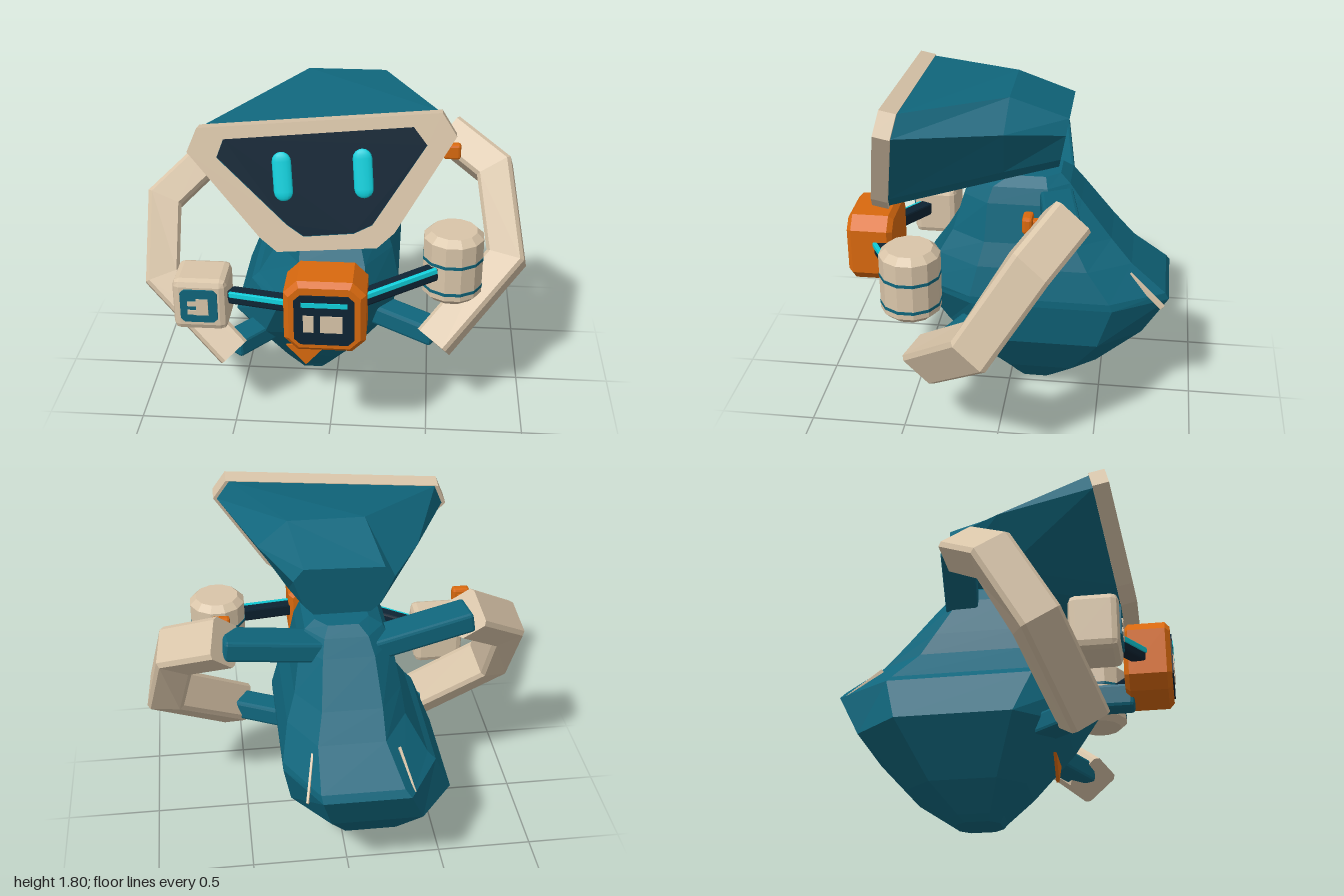
import * as THREE from 'three';
import { RoundedBoxGeometry } from 'three/addons/geometries/RoundedBoxGeometry.js';

const V = (x, y, z) => new THREE.Vector3(x, y, z);

function material(name, color) {
  const m = new THREE.MeshStandardMaterial({ color });
  m.name = name;
  return m;
}

// Faceted copy of a geometry
function flat(geo) {
  const g = geo.index ? geo.toNonIndexed() : geo;
  g.computeVertexNormals();
  return g;
}

// Skin a list of equal-length rings, with end caps, facing outwards
function loft(rings) {
  const tris = [];
  const n = rings[0].length;
  const centre = r => r.reduce((s, p) => s.add(p), V(0, 0, 0)).divideScalar(n);
  for (let k = 0; k < rings.length - 1; k++) {
    for (let i = 0; i < n; i++) {
      const j = (i + 1) % n, a = rings[k], b = rings[k + 1];
      tris.push([a[i], a[j], b[i]], [a[j], b[j], b[i]]);
    }
  }
  const first = rings[0], last = rings[rings.length - 1];
  const c0 = centre(first), c1 = centre(last);
  for (let i = 0; i < n; i++) {
    const j = (i + 1) % n;
    tris.push([c0, first[j], first[i]], [c1, last[i], last[j]]);
  }
  const volume = tris.reduce((s, [a, b, c]) => s + a.dot(b.clone().cross(c)), 0);
  const points = tris.flatMap(([a, b, c]) => (volume < 0 ? [a, c, b] : [a, b, c]));
  const g = new THREE.BufferGeometry().setFromPoints(points);
  g.computeVertexNormals();
  return g;
}

// Chamfered bar swept along a bent path, mitred at the corners
function bentBar(path, halfW, halfD) {
  const N = path[1].clone().sub(path[0]).cross(path[path.length - 1].clone().sub(path[1])).normalize();
  const rings = path.map((p, i) => {
    const dIn = p.clone().sub(path[Math.max(i - 1, 0)]).normalize();
    const dOut = path[Math.min(i + 1, path.length - 1)].clone().sub(p).normalize();
    const dir = dIn.clone().add(dOut).normalize();
    const side = N.clone().cross(dir).normalize();
    const mitre = dIn.lengthSq() && dOut.lengthSq() ? 1 / dIn.dot(dir) : 1;
    const c = 0.8;
    return [[1, c], [c, 1], [-c, 1], [-1, c], [-1, -c], [-c, -1], [c, -1], [1, -c]].map(([u, v]) =>
      p.clone().addScaledVector(side, u * halfW * mitre).addScaledVector(N, v * halfD));
  });
  return loft(rings);
}

export function createModel() {
  const root = new THREE.Group();
  root.name = 'robot';
  const teal = material('teal shell', 0x10667c);
  const cream = material('cream trim', 0xd9c5a9);
  const navy = material('dark screen', 0x0e2434);
  const cyan = material('cyan light', 0x10d0dc);
  const orange = material('orange accent', 0xd9690e);

  function add(name, geo, mat, pos = [0, 0, 0], parent = root) {
    const m = new THREE.Mesh(geo, mat);
    m.name = name;
    m.position.set(...pos);
    parent.add(m);
    return m;
  }
  const chamferBox = (w, h, d, r) => flat(new RoundedBoxGeometry(w, h, d, 1, r));
  const box = (name, size, pos, mat, parent) => add(name, new THREE.BoxGeometry(...size), mat, pos, parent);

  // Bar with a rectangular section between two points
  function strut(name, a, b, w, h, mat) {
    const m = add(name, chamferBox(w, h, a.distanceTo(b), Math.min(w, h) * 0.15), mat);
    m.position.copy(a).add(b).multiplyScalar(0.5);
    m.lookAt(b);
    return m;
  }

  // Body: octagonal rings [y, xMin, xMax, zBack, zFront]
  const bodyRings = [
    [0, -0.23, -0.05, -0.25, -0.03], [0.03, -0.26, -0.02, -0.29, -0.01], [0.17, -0.37, 0.11, -0.48, 0.11],
    [0.44, -0.54, 0.29, -0.72, 0.31], [0.68, -0.44, 0.33, -0.85, 0.45], [0.72, -0.40, 0.33, -0.83, 0.45],
    [0.88, -0.30, 0.295, -0.65, 0.35], [1.0, -0.285, 0.25, -0.54, 0.28], [1.2, -0.25, 0.21, -0.38, 0.22],
    [1.28, -0.21, 0.18, -0.32, 0.17], [1.325, -0.14, 0.13, -0.27, 0.05],
  ].map(([y, x0, x1, z0, z1]) => {
    const c = 0.56;
    return [[1, c], [c, 1], [-c, 1], [-1, c], [-1, -c], [-c, -1], [c, -1], [1, -c]].map(([u, v]) =>
      V((x0 + x1) / 2 + (u * (x1 - x0)) / 2, y, (z0 + z1) / 2 + (v * (z1 - z0)) / 2));
  });
  add('body', loft(bodyRings), teal);

  // Cream slivers on the back ridges
  strut('backFinLeft', V(0.19, 0.83, -0.64), V(0.235, 0.67, -0.82), 0.012, 0.03, cream);
  strut('backFinRight', V(-0.235, 0.83, -0.64), V(-0.29, 0.67, -0.80), 0.012, 0.03, cream);

  // Triangle on the belly
  const tri = new THREE.Shape([[-0.255, 0.325], [-0.15, 0.205], [-0.045, 0.325]].map(p => new THREE.Vector2(...p)));
  add('bellyTriangle', new THREE.ExtrudeGeometry(tri, { depth: 0.015, bevelEnabled: false }), orange, [0, 0, 0.24]);

  // Head shell
  const rim = [[-0.655, 1.588], [-0.607, 1.70], [0.516, 1.80], [0.585, 1.695],
    [0.315, 1.24], [0.235, 1.165], [-0.235, 1.13], [-0.315, 1.195]];
  const mid = [[-0.41, 1.61], [-0.14, 1.785], [0.24, 1.785], [0.39, 1.65],
    [0.24, 1.39], [0.17, 1.32], [-0.17, 1.31], [-0.25, 1.37]];
  const back = [[-0.25, 1.60], [-0.20, 1.66], [0.19, 1.67], [0.24, 1.60],
    [0.19, 1.45], [0.14, 1.39], [-0.14, 1.39], [-0.19, 1.44]];
  add('headShell', loft([
    rim.map(([x, y]) => V(x * 0.97, 1.48 + (y - 1.48) * 0.97 - 0.012, 0.465 + (1.8 - y) * 0.203)),
    mid.map(([x, y]) => V(x, y, -0.03 + (1.785 - y) * 0.08)),
    back.map(([x, y]) => V(x, y, -0.315 + (1.67 - y) * 0.18)),
  ]), teal);

  // Face: tilted frame, screen and eyes
  const face = new THREE.Group();
  face.name = 'face';
  face.position.set(0, 1.8, 0.545);
  face.rotation.x = -0.2;
  root.add(face);
  const local = ([x, y]) => new THREE.Vector2(x, (y - 1.8) / Math.cos(0.2));
  const screen = [[-0.516, 1.567], [-0.484, 1.652], [0.388, 1.733], [0.452, 1.652],
    [0.21, 1.273], [0.125, 1.23], [-0.11, 1.208], [-0.19, 1.262]].map(local);
  const frame = new THREE.Shape(rim.map(local));
  frame.holes.push(new THREE.Path(screen));
  add('faceFrame', new THREE.ExtrudeGeometry(frame, { depth: 0.085, bevelEnabled: false }), cream, [0, 0, -0.085], face);
  add('screen', new THREE.ExtrudeGeometry(new THREE.Shape(screen), { depth: 0.07, bevelEnabled: false }), navy, [0, 0, -0.078], face);
  for (const [name, x, y] of [['eyeRight', -0.21, 1.487], ['eyeLeft', 0.163, 1.513]]) {
    const p = local([x, y]);
    const eye = add(name, new THREE.CapsuleGeometry(0.045, 0.145, 4, 12), cyan, [p.x, p.y, -0.005], face);
    eye.scale.z = 0.35;
    eye.rotation.z = 0.07;
  }

  // Arms, with their upper and lower links to the body
  add('armLeft', bentBar([V(0.58, 1.315, -0.345), V(0.82, 1.185, -0.19), V(0.893, 0.79, 0.05), V(0.525, 0.45, 0.36)], 0.092, 0.108), cream);
  add('armRight', bentBar([V(-0.65, 1.27, -0.15), V(-0.90, 1.07, 0.05), V(-0.895, 0.72, 0.25), V(-0.51, 0.38, 0.42)], 0.085, 0.108), cream);
  strut('shoulderLeft', V(0.1, 1.2, -0.25), V(0.6, 1.29, -0.32), 0.17, 0.11, teal);
  strut('shoulderRight', V(-0.1, 1.175, -0.25), V(-0.66, 1.275, -0.17), 0.17, 0.11, teal);
  strut('hipLinkLeft', V(0.15, 0.51, 0.1), V(0.54, 0.485, 0.32), 0.14, 0.11, teal);
  strut('hipLinkRight', V(-0.3, 0.42, 0.15), V(-0.52, 0.41, 0.4), 0.14, 0.1, teal);
  add('shoulderButtonLeft', chamferBox(0.09, 0.085, 0.05, 0.014), orange, [0.59, 1.3, -0.16]);
  add('shoulderButtonRight', chamferBox(0.09, 0.08, 0.05, 0.014), orange, [-0.653, 1.28, 0.03]);
  strut('buttonPinLeft', V(0.59, 1.3, -0.16), V(0.59, 1.3, -0.3), 0.04, 0.04, orange);
  strut('buttonPinRight', V(-0.653, 1.275, 0.03), V(-0.653, 1.275, -0.12), 0.04, 0.04, orange);

  // Chest control box and its mount
  add('chestMount', chamferBox(0.12, 0.13, 0.3, 0.02), teal, [0, 0.695, 0.485]);
  const corners = (w, h, c) => new THREE.Shape([[w, h - c], [w - c, h], [c - w, h], [-w, h - c], [-w, c - h], [c - w, -h], [w - c, -h], [w, c - h]]
    .map(p => new THREE.Vector2(...p)));
  add('chestBox', new THREE.ExtrudeGeometry(corners(0.17, 0.163, 0.05),
    { depth: 0.19, bevelThickness: 0.025, bevelSize: 0.025, bevelSegments: 1 }), orange, [0, 0.865, 0.62]);
  add('chestPanel', new THREE.ExtrudeGeometry(corners(0.143, 0.133, 0.03),
    { depth: 0.008, bevelEnabled: false }), navy, [-0.001, 0.858, 0.834]);
  box('chestLight', [0.22, 0.024, 0.006], [0, 0.943, 0.844], cyan);
  box('chestKeySmall', [0.05, 0.09, 0.006], [-0.075, 0.84, 0.844], cream);
  box('chestKeyLarge', [0.105, 0.09, 0.006], [0.033, 0.84, 0.844], cream);

  // Canister with stripes
  const can = [[0, -0.178], [0.115, -0.178], [0.15, -0.145], [0.15, 0.145], [0.115, 0.178], [0, 0.178]];
  add('canister', flat(new THREE.LatheGeometry(can.map(p => new THREE.Vector2(...p)), 12, Math.PI / 12)), cream, [0.6, 0.962, 0.41]);
  for (const y of [1.0, 0.852]) {
    add('canisterStripe', flat(new THREE.CylinderGeometry(0.152, 0.152, 0.016, 12, 1, false, Math.PI / 12)), teal, [0.6, y, 0.41]);
  }

  // Side module with panel and plug symbol
  add('sideBox', chamferBox(0.27, 0.28, 0.24, 0.035), cream, [-0.635, 0.77, 0.495]);
  add('sidePanel', new THREE.ExtrudeGeometry(corners(0.092, 0.09, 0.02),
    { depth: 0.009, bevelEnabled: false }), teal, [-0.637, 0.775, 0.614]);
  box('plugBody', [0.06, 0.09, 0.006], [-0.62, 0.772, 0.625], cream);
  for (const y of [0.742, 0.79]) box('plugPin', [0.045, 0.025, 0.006], [-0.67, y, 0.625], cream);

  // Connecting rods with light strips
  for (const [name, a, b] of [
    ['rodRight', V(-0.49, 0.8, 0.54), V(-0.17, 0.85, 0.68)],
    ['rodLeft', V(0.17, 0.885, 0.66), V(0.52, 0.955, 0.5)],
  ]) {
    strut(name, a, b, 0.07, 0.07, navy);
    const off = V(0, 0.022, 0.034);
    strut(name + 'Light', a.clone().add(off), b.clone().add(off), 0.022, 0.028, cyan);
  }
  return root;
}
